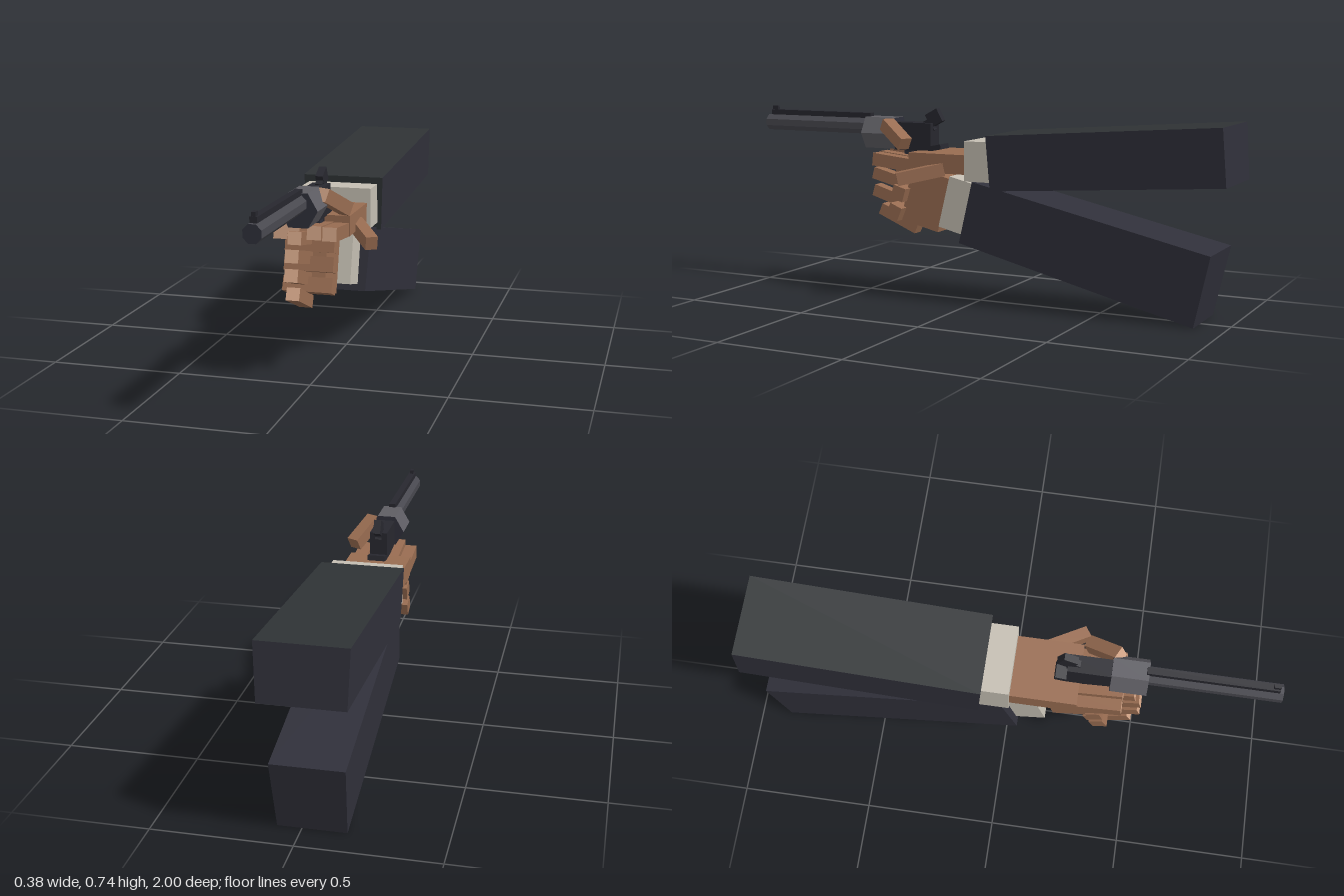
import * as THREE from 'three';

const mat = (name, color) => {
  const m = new THREE.MeshStandardMaterial({ color });
  m.name = name;
  return m;
};

export function createModel() {
  const root = new THREE.Group();
  const sleeve = mat('sleeve cloth', 0x30303a);
  const sleeveTop = mat('upper sleeve cloth', 0x2f3335);
  const cuff = mat('cuff cloth', 0xc4beb2);
  const skin = mat('skin', 0x986c51);
  const tip = mat('fingertip skin', 0xd4a688);
  const steel = mat('cylinder steel', 0x5e5d63);
  const barrelSteel = mat('barrel steel', 0x48484f);
  const dark = mat('dark frame', 0x27272e);
  const muzzle = mat('blued steel', 0x2e2f3a);

  const add = (parent, name, geo, material, x = 0, y = 0, z = 0, rx = 0) => {
    const m = new THREE.Mesh(geo, material);
    m.name = name;
    m.position.set(x, y, z);
    m.rotation.x = rx;
    parent.add(m);
    return m;
  };
  const group = (name) => {
    const g = new THREE.Group();
    g.name = name;
    root.add(g);
    return g;
  };
  const box = (parent, name, material, w, h, d, x, y, z, rx = 0) =>
    add(parent, name, new THREE.BoxGeometry(w, h, d), material, x, y, z, rx);

  // Square bar between two points, with a lighter end face
  const bar = (parent, name, a, b, w, h, end = tip) => {
    const from = new THREE.Vector3(...a), to = new THREE.Vector3(...b);
    const mats = [skin, skin, skin, skin, end, skin];
    const m = box(parent, name, mats, w, h, from.distanceTo(to), 0, 0, 0);
    m.position.copy(from).lerp(to, 0.5);
    m.lookAt(to);
    return m;
  };

  // Box with moved corners: [z, y] of each edge and half widths at top and bottom
  const taper = (parent, name, material, cx, c, topHalf, bottomHalf) => {
    const geo = new THREE.BoxGeometry(2, 2, 2).toNonIndexed();
    const p = geo.attributes.position;
    for (let i = 0; i < p.count; i++) {
      const top = p.getY(i) > 0, front = p.getZ(i) > 0;
      const [z, y] = top ? (front ? c.frontTop : c.backTop) : (front ? c.frontBottom : c.backBottom);
      p.setXYZ(i, cx + Math.sign(p.getX(i)) * (top ? topHalf : bottomHalf), y, z);
    }
    geo.computeVertexNormals();
    return add(parent, name, geo, material);
  };

  // Upper arm
  const upper = group('upperArm');
  taper(upper, 'upperSleeve', [sleeve, sleeve, sleeveTop, sleeve, sleeveTop, sleeve], -0.035,
    { frontTop: [-0.08, 0.655], backTop: [-0.985, 0.72], backBottom: [-1, 0.51], frontBottom: [-0.095, 0.447] },
    0.157, 0.149);
  box(upper, 'upperCuff', cuff, 0.27, 0.153, 0.13, -0.035, 0.553, -0.045);

  // Lower arm
  const lower = group('lowerArm');
  taper(lower, 'lowerSleeve', sleeve, -0.035,
    { frontTop: [-0.01, 0.475], backTop: [-0.945, 0.265], backBottom: [-0.885, 0], frontBottom: [0.05, 0.235] },
    0.13, 0.122);
  box(lower, 'lowerCuff', cuff, 0.182, 0.205, 0.16, -0.035, 0.368, 0.053, -0.24);

  // Upper hand: flat palm, four fingers and a thumb
  const handA = group('upperHand');
  box(handA, 'upperPalm', skin, 0.24, 0.075, 0.27, -0.035, 0.537, 0.135);
  for (const [x, y] of [[-0.126, 0.54], [-0.08, 0.563], [-0.002, 0.542], [0.055, 0.54]])
    bar(handA, 'upperFinger', [x, y - 0.018, 0.26], [x, y, 0.435], 0.052, 0.05);
  bar(handA, 'upperThumb', [0.07, 0.515, 0.125], [0.168, 0.479, 0.275], 0.045, 0.05, skin);

  // Lower hand: tilted palm, knuckle blocks and splayed fingers
  const handB = group('lowerHand');
  box(handB, 'lowerPalm', skin, 0.1, 0.22, 0.17, -0.04, 0.383, 0.24, -0.24);
  const rows = [[0.53, 0.48, 0.19, 0.32], [0.47, 0.505, 0.25, 0.325], [0.4, 0.505, 0.3, 0.34], [0.325, 0.475, 0.4, 0.36]];
  rows.forEach(([y, z, tilt, kz], i) => {
    const x = -0.06 - 0.003 * i;
    bar(handB, 'lowerFinger', [x, y - 0.18 * Math.sin(tilt), z - 0.18 * Math.cos(tilt)], [x, y, z], 0.05, 0.047);
    if (i > 0) box(handB, 'knuckle', skin, 0.185, 0.055, 0.055, -0.043, y + 0.005, kz, -tilt);
  });
  bar(handB, 'lowerThumb', [0.078, 0.605, 0.29], [0.02, 0.675, 0.405], 0.05, 0.05);

  // Gun: everything sits on one centre line
  const gun = group('gun');
  const gx = -0.035;
  const rod = (name, r, sides, z0, z1, y, turn, side, cap) => {
    const geo = new THREE.CylinderGeometry(r, r, z1 - z0, sides).toNonIndexed();
    geo.rotateY(turn);
    geo.rotateX(Math.PI / 2);
    geo.computeVertexNormals();
    add(gun, name, geo, [side, cap, cap], gx, y, (z0 + z1) / 2);
  };
  rod('barrel', 0.034, 8, 0.5, 1, 0.66, Math.PI / 8, barrelSteel, muzzle);
  rod('cylinder', 0.071, 6, 0.38, 0.515, 0.637, Math.PI / 6, steel, muzzle);
  box(gun, 'topRib', dark, 0.026, 0.028, 0.48, gx, 0.698, 0.745);
  box(gun, 'frontSight', dark, 0.014, 0.025, 0.025, gx, 0.715, 0.972);
  box(gun, 'frame', dark, 0.068, 0.11, 0.165, gx, 0.627, 0.302);
  box(gun, 'tang', dark, 0.068, 0.02, 0.08, gx, 0.584, 0.215, 0.2);
  box(gun, 'hammer', dark, 0.028, 0.055, 0.058, gx, 0.702, 0.217, 0.5);
  box(gun, 'hammerNeck', dark, 0.026, 0.05, 0.03, gx, 0.67, 0.24, 0.5);
  box(gun, 'trigger', muzzle, 0.045, 0.08, 0.04, gx + 0.005, 0.54, 0.32);
  box(gun, 'grip', dark, 0.05, 0.2, 0.08, gx, 0.48, 0.25, 0.2);

  return root;
}
